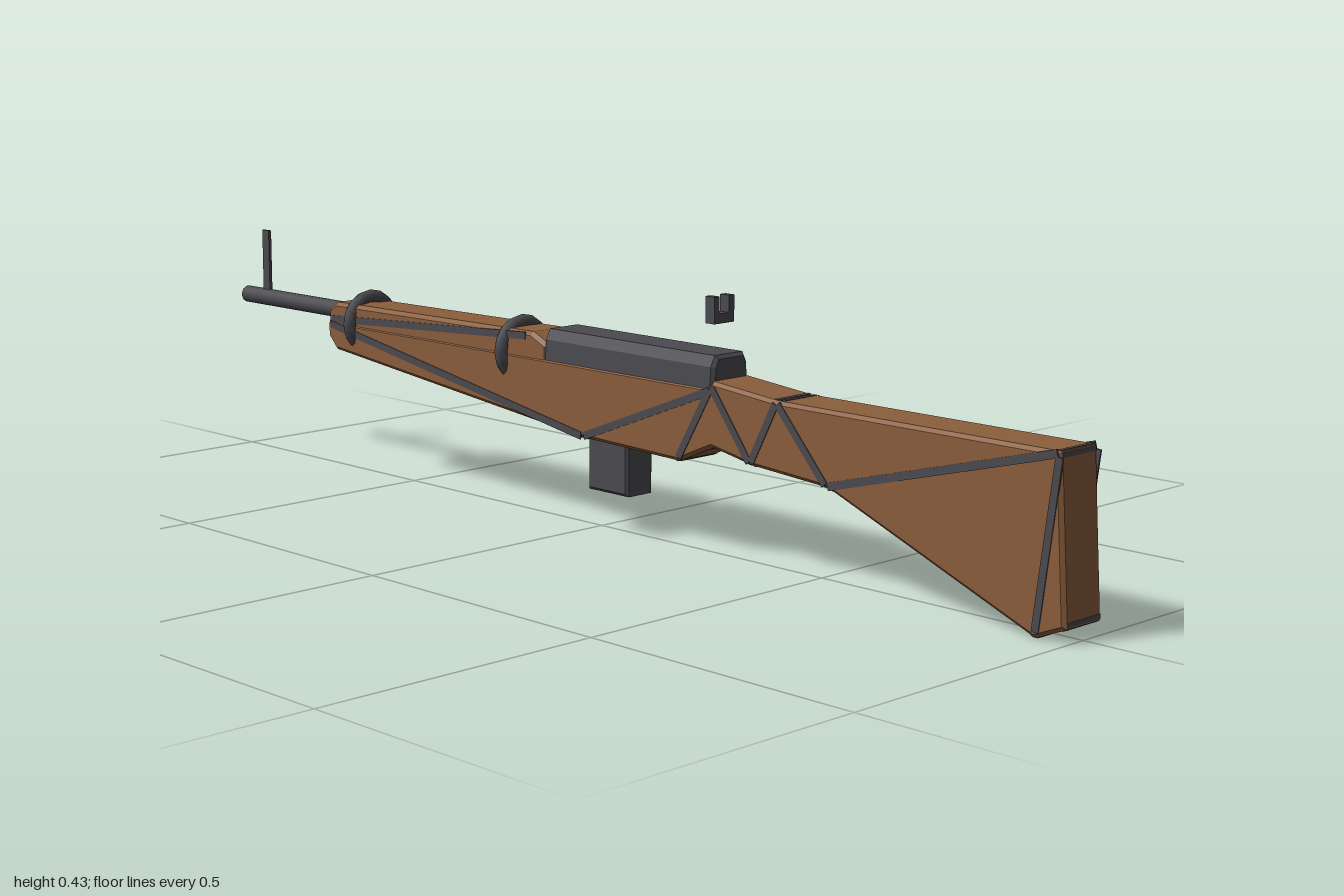
import * as THREE from 'three';

export function createModel() {
  const model = new THREE.Group();
  model.name = 'rifle';
  const wood = new THREE.MeshStandardMaterial({ name: 'brown wood', color: 0x8b5e3c });
  const metal = new THREE.MeshStandardMaterial({ name: 'dark metal', color: 0x4a4a50 });

  const add = (name, geometry, material, x = 0, y = 0, z = 0) => {
    const mesh = new THREE.Mesh(geometry, material);
    mesh.name = name;
    mesh.position.set(x, y, z);
    model.add(mesh);
    return mesh;
  };
  const box = (name, w, h, d, x, y, z) => add(name, new THREE.BoxGeometry(w, h, d), metal, x, y, z);
  const toShape = (pts) => new THREE.Shape(pts.map(([a, b]) => new THREE.Vector2(a, b)));
  const chamfered = (pts, depth, bevel) => new THREE.ExtrudeGeometry(toShape(pts), {
    depth: depth - 2 * bevel, bevelEnabled: true, bevelSegments: 1,
    bevelSize: bevel, bevelThickness: bevel, bevelOffset: -bevel,
  }).translate(0, 0, bevel - depth / 2);
  // Side profile given as [z, y], extruded across the width
  const sideProfile = (pts, width, bevel) => chamfered(pts, width, bevel).rotateY(-Math.PI / 2);

  // Wooden stock
  const HALF = 0.045;
  const stock = [
    [0.982, 0.282], [1.0, 0.025], [0.945, 0.002], [0.545, 0.16], [0.385, 0.171], [0.3, 0.187],
    [0.225, 0.154], [0, 0.16], [-0.67, 0.232], [-0.692, 0.255], [-0.692, 0.285],
    [0.29, 0.285], [0.3, 0.295], [0.44, 0.282],
  ];
  add('stock', sideProfile(stock, HALF * 2, 0.006), wood);

  // Upper handguard
  const guard = [[-0.09, 0.27], [-0.09, 0.308], [-0.13, 0.326], [-0.67, 0.32], [-0.692, 0.305], [-0.692, 0.27]];
  add('handguard', sideProfile(guard, 0.086, 0.007), wood);

  // Inlaid strips on both sides of the wood
  const strips = [
    [0.982, 0.278, 0.947, 0.008], [0.982, 0.28, 0.545, 0.162], [0.545, 0.162, 0.44, 0.28],
    [0.44, 0.28, 0.385, 0.173], [0.385, 0.173, 0.298, 0.288], [0.298, 0.285, 0.225, 0.158],
    [0.298, 0.28, 0, 0.163], [0, 0.163, -0.685, 0.279], [-0.14, 0.318, -0.685, 0.288],
  ];
  strips.forEach(([z1, y1, z2, y2], i) => {
    const length = Math.hypot(z2 - z1, y2 - y1) - 0.008;
    const offset = i === strips.length - 1 ? 0.0428 : HALF;
    for (const side of [-1, 1]) {
      const strip = box('sideStrip', 0.003, 0.013, length, side * offset, (y1 + y2) / 2, (z1 + z2) / 2);
      strip.rotation.x = -Math.atan2(y2 - y1, z2 - z1);
    }
  });

  // Strips across the stock at the corners of its profile
  for (const i of [0, 1, 2, 3, 4, 5, 6, 7, 13]) {
    const [z, y] = stock[i];
    for (const j of [i - 1, i + 1]) {
      const [z2, y2] = stock[(j + stock.length) % stock.length];
      const len = Math.hypot(z2 - z, y2 - y);
      const dz = (z2 - z) / len, dy = (y2 - y) / len;
      const strip = box('crossStrip', 0.078, 0.002, 0.007, 0, y + dy * 0.006, z + dz * 0.006);
      strip.rotation.x = -Math.atan2(dy, dz);
    }
  }

  // Receiver
  const receiver = [[-0.043, 0.272], [0.043, 0.272], [0.041, 0.317], [0.032, 0.335], [-0.032, 0.335], [-0.041, 0.317]];
  add('receiver', chamfered(receiver, 0.4, 0.006), metal, 0, 0, 0.1);

  // Magazine below the stock
  const magazine = [[-0.003, 0.07], [0.093, 0.07], [0.093, 0.2], [-0.003, 0.2]];
  add('magazine', sideProfile(magazine, 0.062, 0.005), metal);

  // Barrel and the two bands that hold it
  add('barrel', new THREE.CylinderGeometry(0.016, 0.016, 0.34, 16).rotateX(Math.PI / 2), metal, 0, 0.298, -0.83);
  for (const z of [-0.2, -0.62]) {
    add('barrelBand', new THREE.TorusGeometry(0.049, 0.012, 8, 16), metal, 0, 0.284, z);
  }

  // Front sight post and notched rear sight
  box('frontSight', 0.006, 0.122, 0.02, 0, 0.367, -0.936);
  box('rearSightBase', 0.046, 0.016, 0.02, 0, 0.391, 0.274);
  for (const side of [-1, 1]) box('rearSightProng', 0.012, 0.034, 0.02, side * 0.017, 0.41, 0.274);

  return model;
}
